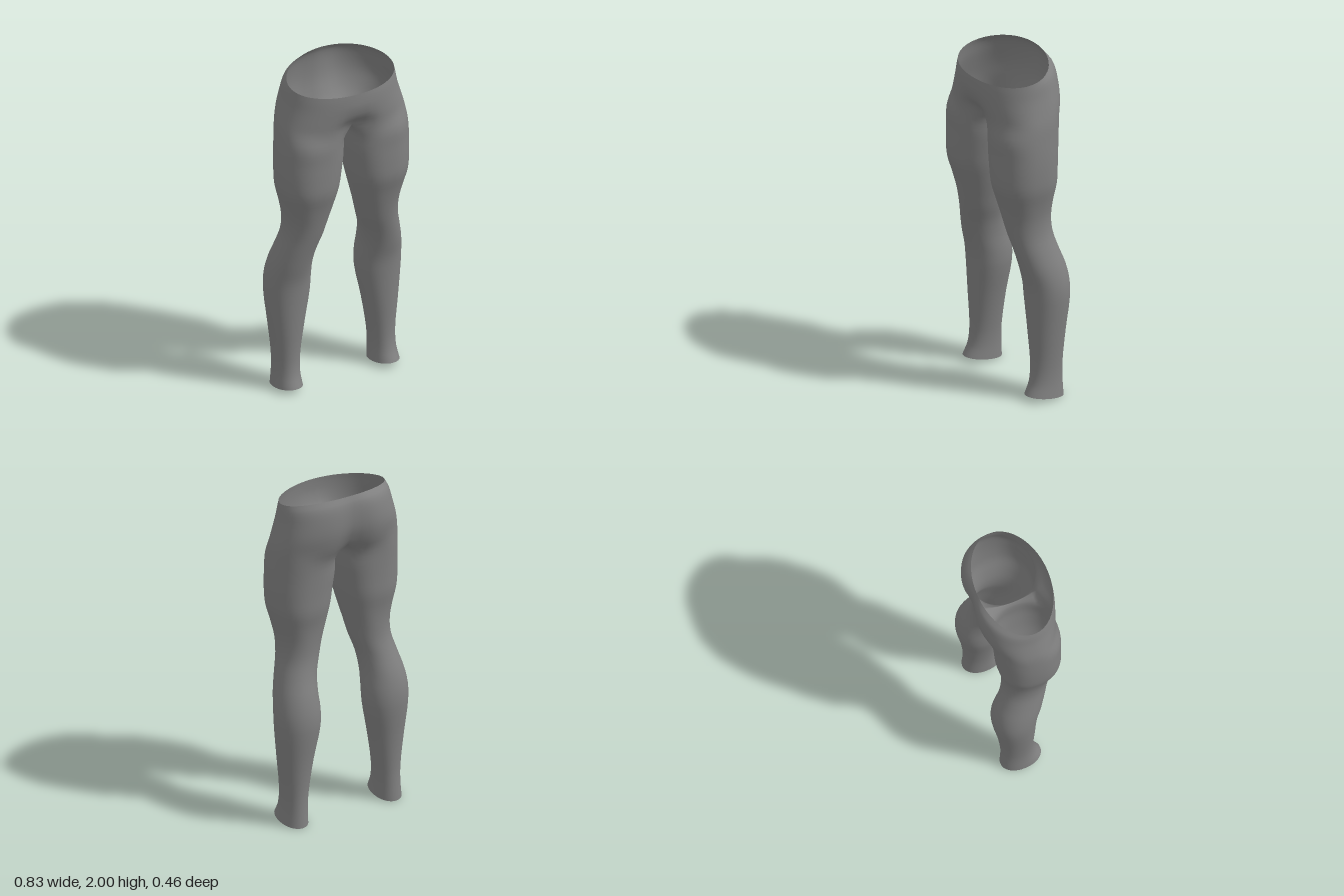
import * as THREE from 'three';
import { mergeVertices } from 'three/addons/utils/BufferGeometryUtils.js';

const COLS = 40;   // columns around one leg
const EDGE = 15;   // columns -15..15 continue up into the pelvis, the rest end at the crotch
const SUB = 3;     // subdivisions between key sections

// Leg sections: height, inner x, outer x, front z, back z
const LEG = [
  [0.00, 0.225, 0.385, 0.075, -0.160],
  [0.10, 0.230, 0.375, 0.045, -0.155],
  [0.20, 0.225, 0.375, 0.032, -0.155],
  [0.40, 0.195, 0.395, 0.040, -0.172],
  [0.60, 0.158, 0.415, 0.050, -0.198],
  [0.70, 0.155, 0.415, 0.060, -0.197],
  [0.80, 0.160, 0.400, 0.085, -0.178],
  [0.90, 0.150, 0.374, 0.110, -0.145],
  [1.00, 0.120, 0.350, 0.135, -0.122],
  [1.10, 0.095, 0.348, 0.158, -0.120],
  [1.20, 0.070, 0.365, 0.182, -0.128],
  [1.30, 0.046, 0.389, 0.210, -0.146],
  [1.40, 0.030, 0.396, 0.215, -0.150],
  [1.50, 0.016, 0.396, 0.215, -0.155],
  [1.60, 0.012, 0.390, 0.216, -0.163],
];

// Pelvis sections: rise (0 crotch, 1 waist), half width, front z, back z,
// centre dent at front, centre dent at back, roundness power
const PELVIS = [
  [0.00, 0.380, 0.222, -0.205, 0.060, 0.050, 0.80],
  [0.30, 0.362, 0.230, -0.232, 0.015, 0.035, 0.85],
  [0.60, 0.342, 0.236, -0.236, 0.000, 0.025, 0.90],
  [0.85, 0.330, 0.237, -0.222, 0.000, 0.015, 0.95],
  [1.00, 0.320, 0.235, -0.190, 0.000, 0.000, 1.00],
];
const CROTCH_Y = 1.63, SEAM_Y = 1.69;

const pow = (v, p) => Math.sign(v) * Math.abs(v) ** p;

// Waistband edge rises toward the back
const waistY = (z) => 1.912 + 0.088 * Math.max(0, (0.235 - z) / 0.425) ** 1.8;

function legPoint([y, xin, xout, zf, zb], a) {
  const p = y > 1.1 ? 0.88 : 0.95;
  const x = (xin + xout) / 2 + (xout - xin) / 2 * pow(Math.cos(a), p);
  const z = (zf + zb) / 2 + (zf - zb) / 2 * pow(Math.sin(a), p);
  // slanted hem
  return new THREE.Vector3(x, y === 0 ? 0.035 * (z + 0.16) / 0.235 : y, z);
}

function pelvisPoint([v, rx, zf, zb, dentF, dentB, p], b) {
  const x = rx * pow(Math.max(0, Math.cos(b)), p);
  const s = pow(Math.sin(b), p);
  let z = (zf + zb) / 2 + (zf - zb) / 2 * s;
  const near = Math.exp(-((x / 0.09) ** 2));
  z += s > 0 ? -dentF * near : dentB * near;
  return new THREE.Vector3(x, SEAM_Y + (waistY(z) - SEAM_Y) * v, z);
}

// Saddle between the legs
function crotchPoint(a) {
  const s = Math.sin(a) / Math.sin(Math.PI * 0.75);
  const front = PELVIS[0][2] - PELVIS[0][4], back = PELVIS[0][3] + PELVIS[0][5];
  return new THREE.Vector3(0, CROTCH_Y + (SEAM_Y - CROTCH_Y) * s * s,
    (front + back) / 2 + (front - back) / 2 * s);
}

// One vertical column of smooth points from hem to waist, or hem to crotch
function column(i) {
  const a = i * 2 * Math.PI / COLS;
  const keys = LEG.map((row) => legPoint(row, a));
  if (Math.abs(i) <= EDGE) {
    const b = i / EDGE * Math.PI / 2;
    PELVIS.forEach((row) => keys.push(pelvisPoint(row, b)));
  } else {
    keys.push(crotchPoint(a));
  }
  const points = new THREE.CatmullRomCurve3(keys).getPoints((keys.length - 1) * SUB);
  // keep the centre line on the mirror plane
  if (Math.abs(i) === EDGE) points.forEach((q, j) => { if (j >= LEG.length * SUB) q.x = 0; });
  return points;
}

function trouserGeometry() {
  const columns = [];
  for (let i = -EDGE; i < COLS - EDGE; i++) columns.push(column(i));
  const pos = [];
  const tri = (p, q, r) => {
    for (const v of [p, q, r]) pos.push(v.x, v.y, v.z);
    for (const v of [p, r, q]) pos.push(-v.x, v.y, v.z); // mirrored half
  };
  columns.forEach((c, i) => {
    const d = columns[(i + 1) % COLS];
    const rows = Math.min(c.length, d.length) - 1;
    for (let j = 0; j < rows; j++) {
      tri(c[j], c[j + 1], d[j]);
      tri(d[j], c[j + 1], d[j + 1]);
    }
  });
  const raw = new THREE.BufferGeometry();
  raw.setAttribute('position', new THREE.Float32BufferAttribute(pos, 3));
  const geometry = mergeVertices(raw, 1e-4);
  geometry.computeVertexNormals();
  return geometry;
}

export function createModel() {
  const group = new THREE.Group();
  group.name = 'leggings';
  const greyCloth = new THREE.MeshStandardMaterial({ color: 0x808080, side: THREE.DoubleSide });
  greyCloth.name = 'grey cloth';
  const mesh = new THREE.Mesh(trouserGeometry(), greyCloth);
  mesh.name = 'trouserShell';
  group.add(mesh);
  return group;
}
